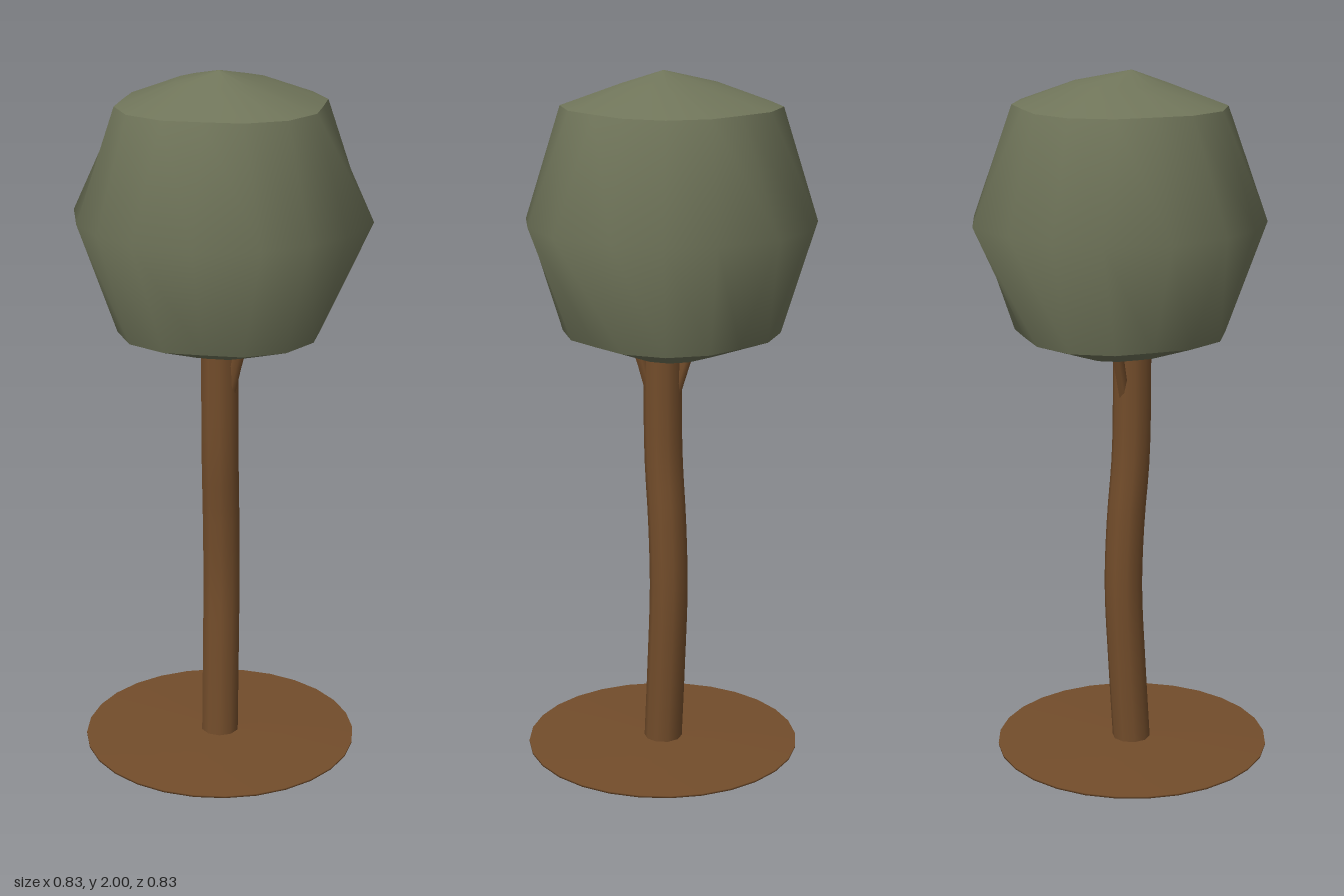
import * as THREE from 'three';

const leaf = new THREE.MeshStandardMaterial({ color: 0x70755a });
const bark = new THREE.MeshStandardMaterial({ color: 0x734d2b });

// One quadrant of each horizontal ring as [angle in degrees, radius]
const WAIST = [[0, 0.407], [20, 0.411], [45, 0.424], [70, 0.411]];
const RIM = [[0, 0.308], [23.5, 0.298], [45, 0.279], [66.5, 0.298]];

function ring(quadrant, y, scale = 1, dx = 0.007, dz = -0.008) {
  const points = [];
  for (let q = 0; q < 4; q++) {
    for (const [deg, r] of quadrant) {
      const a = THREE.MathUtils.degToRad(deg + q * 90);
      points.push(dx + Math.cos(a) * r * scale, y, dz + Math.sin(a) * r * scale);
    }
  }
  return points;
}

// Joins rings listed from top to bottom into a smooth shell
function shell(rings) {
  const n = rings[0].length / 3;
  const index = [];
  for (let i = 0; i < rings.length - 1; i++) {
    for (let j = 0; j < n; j++) {
      const a = i * n + j, b = i * n + (j + 1) % n;
      index.push(a, b, a + n, b, b + n, a + n);
    }
  }
  const g = new THREE.BufferGeometry();
  g.setAttribute('position', new THREE.Float32BufferAttribute(rings.flat(), 3));
  g.setIndex(index);
  g.computeVertexNormals();
  return g;
}

// Tapered round limb along a curve, closed at both ends
function limb(points, r0, r1, sides, steps) {
  const curve = new THREE.CatmullRomCurve3(points.map((p) => new THREE.Vector3(...p)));
  const g = new THREE.TubeGeometry(curve, steps, 1, sides, false);
  const pos = g.attributes.position, v = new THREE.Vector3();
  for (let i = 0; i < pos.count; i++) {
    const t = Math.floor(i / (sides + 1)) / steps;
    const c = curve.getPointAt(t);
    v.fromBufferAttribute(pos, i).sub(c).multiplyScalar(r0 + (r1 - r0) * t).add(c);
    pos.setXYZ(i, v.x, v.y, v.z);
  }
  return g;
}

export function createModel() {
  const model = new THREE.Group();
  const add = (name, geometry, material, parent = model) => {
    const mesh = new THREE.Mesh(geometry, material);
    mesh.name = name;
    parent.add(mesh);
    return mesh;
  };

  // Soil disc, very slightly domed
  const profile = [[0, 0], [0.4, 0.006], [0.4, 0.012], [0, 0.02]];
  const soil = new THREE.LatheGeometry(
    profile.map(([r, y]) => new THREE.Vector2(r, y)), 28, Math.PI / 28);
  add('soilDisc', soil, bark).position.set(-0.019, 0, 0.019);

  // Trunk, bowed along the diagonal
  const bow = [[0.01, -0.018], [0.25, -0.008], [0.5, 0], [0.7, -0.005], [0.9, -0.016], [1.25, -0.019]];
  add('trunk', limb(bow.map(([y, d]) => [d, y, -d]), 0.056, 0.055, 10, 20), bark);

  // Branches reaching up into the crown
  add('frontBranch', limb([[-0.01, 1.06, 0.045], [0, 1.2, 0.08], [0.01, 1.35, 0.13]], 0.016, 0.02, 6, 5), bark);
  add('backBranch', limb([[-0.012, 1.06, -0.012], [-0.01, 1.2, -0.053], [-0.01, 1.35, -0.1]], 0.016, 0.02, 6, 5), bark);

  // Crown: smooth sides with crisp rims around the top and bottom caps
  const crown = new THREE.Group();
  crown.name = 'crown';
  model.add(crown);
  add('crownSides', shell([ring(RIM, 1.905), ring(WAIST, 1.59), ring(RIM, 1.27)]), leaf, crown);
  add('crownTop', shell([ring(RIM, 2, 0.001, -0.018, 0.015), ring(RIM, 1.966, 0.45), ring(RIM, 1.905)]), leaf, crown);
  add('crownBottom', shell([ring(RIM, 1.27), ring(RIM, 1.212, 0.45), ring(RIM, 1.18, 0.001, -0.018, 0.015)]), leaf, crown);

  return model;
}
